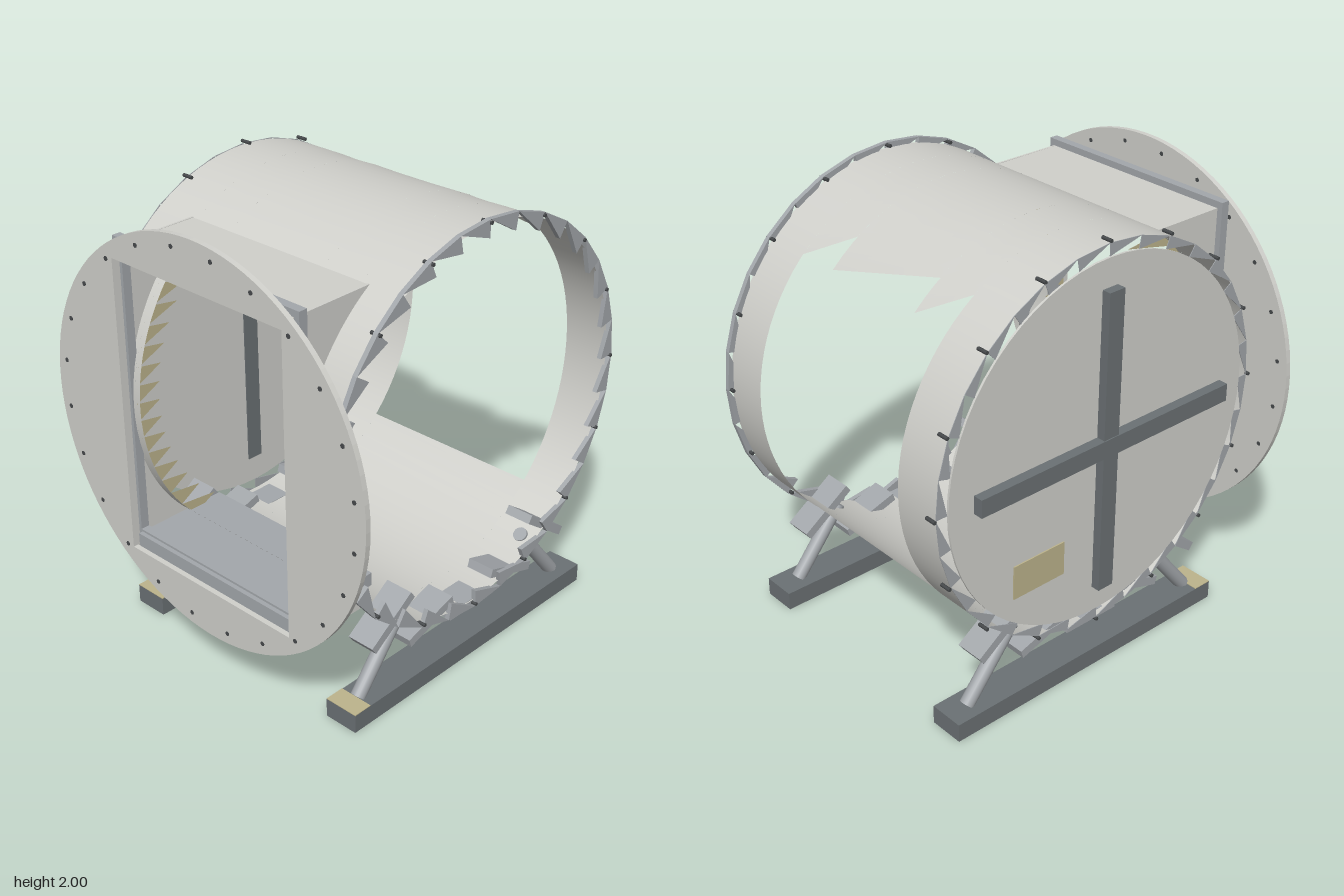
import * as THREE from 'three';

const CX = 0.01, CY = 1.12, R = 0.853;
const rad = THREE.MathUtils.degToRad;
const polar = (r, a) => new THREE.Vector2(CX + r * Math.cos(a), CY + r * Math.sin(a));

export function createModel() {
  const model = new THREE.Group();
  const mat = (name, color) => new THREE.MeshStandardMaterial({ name, color, side: THREE.DoubleSide });
  const shell = mat('pale shell', 0xd0d0cb);
  const steel = mat('steel grey', 0xa3a7ab);
  const dark = mat('dark grey', 0x6b7174);
  const black = mat('bolt grey', 0x46494b);
  const tan = mat('tan', 0xbdb48c);

  const add = (name, geo, m, parent = model) => {
    const mesh = new THREE.Mesh(geo, m);
    mesh.name = name;
    parent.add(mesh);
    return mesh;
  };
  const group = (name) => {
    const g = new THREE.Group();
    g.name = name;
    model.add(g);
    return g;
  };
  // box given by its limits on each axis
  const box = (name, m, [x0, x1], [y0, y1], [z0, z1], parent) => {
    const b = add(name, new THREE.BoxGeometry(x1 - x0, y1 - y0, z1 - z0), m, parent);
    b.position.set((x0 + x1) / 2, (y0 + y1) / 2, (z0 + z1) / 2);
    return b;
  };
  const extrude = (shape, depth) =>
    new THREE.ExtrudeGeometry(shape, { depth, bevelEnabled: false, curveSegments: 48 });

  // Drum wall: curved patches between z0 and z1, angles in degrees at each end
  const drum = group('drum');
  const patch = (z0, z1, [a0, b0], [a1, b1] = [a0, b0]) => {
    const n = Math.ceil((b0 - a0) / 4), pos = [], nor = [], idx = [];
    for (let i = 0; i <= n; i++) {
      [[z0, a0, b0], [z1, a1, b1]].forEach(([z, a, b]) => {
        const t = rad(a + (b - a) * i / n);
        const p = polar(R, t);
        pos.push(p.x, p.y, z);
        nor.push(Math.cos(t), Math.sin(t), 0);
      });
      if (i < n) {
        const k = 2 * i;
        idx.push(k, k + 2, k + 1, k + 1, k + 2, k + 3);
      }
    }
    const g = new THREE.BufferGeometry();
    g.setAttribute('position', new THREE.Float32BufferAttribute(pos, 3));
    g.setAttribute('normal', new THREE.Float32BufferAttribute(nor, 3));
    g.setIndex(idx);
    add('drumWall', g, shell, drum);
  };
  patch(-0.68, -0.455, [0, 360]);
  patch(0.45, 0.66, [0, 360]);
  // saw-toothed upper edge of the right opening
  [[-0.455, -0.26], [-0.26, 0.25], [0.25, 0.45]].forEach(([z0, z1]) =>
    patch(z0, z1, [56.6, 130], [45.4, 130]));
  patch(-0.455, 0.45, [223, 314.6]);
  patch(-0.455, -0.425, [130, 223]);
  patch(0.425, 0.45, [130, 223]);

  // Back cover with its cross brace and plate
  const cover = add('backCover', new THREE.CylinderGeometry(0.803, 0.803, 0.01, 64), shell);
  cover.rotation.x = Math.PI / 2;
  cover.position.set(CX, CY, -0.685);
  box('verticalBrace', dark, [-0.03, 0.05], [0.44, 1.8], [-0.73, -0.675]);
  box('horizontalBrace', dark, [-0.665, 0.69], [1.08, 1.16], [-0.735, -0.684]);
  box('backPlate', tan, [0.22, 0.49], [0.59, 0.745], [-0.696, -0.69]);

  // Sawtooth rims and bolts at both ends
  const rim = (name, outer, z, depth) => {
    const g = group(name);
    for (let i = 0; i < 32; i++) {
      const a = i * Math.PI / 16, b = a + Math.PI / 16;
      const tri = new THREE.Shape([polar(0.803, a), polar(outer, a), polar(outer, b)]);
      add('rimTooth', extrude(tri, depth), steel, g).position.z = z;
    }
  };
  rim('frontRim', 0.88, 0.65, 0.022);
  rim('backRim', 0.858, -0.683, 0.003);
  const bolts = group('rimBolts');
  const boltGeo = new THREE.CylinderGeometry(0.008, 0.008, 0.05, 8);
  for (const z of [0.655, -0.665]) {
    for (let i = 0; i < 16; i++) {
      const p = polar(0.867, i * Math.PI / 8);
      const b = add('rimBolt', boltGeo, black, bolts);
      b.rotation.x = Math.PI / 2;
      b.position.set(p.x, p.y, z);
    }
  }

  // Side duct joining the drum
  const duct = group('duct');
  const side = new THREE.Shape();
  side.moveTo(-0.87, 0.41);
  side.lineTo(-0.46, 0.41);
  side.absarc(CX, CY, R, rad(236.6), rad(123.4), true);
  side.lineTo(-0.87, 1.83);
  for (const z of [-0.49, 0.48]) add('ductSide', extrude(side, 0.01), shell, duct).position.z = z;
  box('ductTop', shell, [-0.87, -0.46], [1.82, 1.83], [-0.49, 0.49], duct);
  box('ductBottom', shell, [-0.87, -0.46], [0.41, 0.42], [-0.49, 0.49], duct);
  box('ductFloor', steel, [-0.87, -0.41], [0.46, 0.52], [-0.46, 0.46], duct);

  // Plates across the duct, drawn in (z, y) and turned to face sideways
  const rect = (P, h, y0, y1) => {
    const s = new P();
    s.moveTo(-h, y0);
    s.lineTo(h, y0);
    s.lineTo(h, y1);
    s.lineTo(-h, y1);
    s.closePath();
    return s;
  };
  const frame = rect(THREE.Shape, 0.515, 0.41, 1.86);
  frame.holes.push(rect(THREE.Path, 0.465, 0.53, 1.8));
  const frameMesh = add('ductFrame', extrude(frame, 0.04), steel);
  frameMesh.rotation.y = Math.PI / 2;
  frameMesh.position.x = -0.85;

  const disc = new THREE.Shape();
  disc.absarc(0, CY, 0.88, 0, Math.PI * 2, false);
  disc.holes.push(rect(THREE.Path, 0.47, 0.46, 1.79));
  const discMesh = add('sideFlange', extrude(disc, 0.024), shell);
  discMesh.rotation.y = Math.PI / 2;
  discMesh.position.x = -0.895;

  const flangeBolts = group('flangeBolts');
  for (let i = 0; i < 24; i++) {
    const a = (i + 0.5) * Math.PI / 12;
    const b = add('flangeBolt', new THREE.CylinderGeometry(0.01, 0.01, 0.028, 8), black, flangeBolts);
    b.rotation.z = Math.PI / 2;
    b.position.set(-0.884, CY + 0.83 * Math.sin(a), 0.83 * Math.cos(a));
  }

  // Spikes along the curved edges of the duct opening
  const spikes = group('openingSpikes');
  const edge = (r, y) => new THREE.Vector2(CX - Math.sqrt(r * r - (y - CY) ** 2), y);
  for (const z of [-0.44, 0.44]) {
    for (let i = 0; i < 16; i++) {
      const y0 = 0.49 + i * 0.081, y1 = y0 + 0.081;
      const tri = new THREE.Shape([edge(R, y0), edge(0.735, y1 - 0.02), edge(R, y1)]);
      add('spike', new THREE.ShapeGeometry(tri), tan, spikes).position.z = z;
    }
  }

  // Two stands: beam, slanted legs and saddle pads
  for (const z of [-0.59, 0.59]) {
    const stand = group(z > 0 ? 'frontStand' : 'backStand');
    box('beam', dark, [-0.73, 0.76], [0, 0.085], [z - 0.08, z + 0.08], stand);
    box('beamPlate', tan, [-0.73, -0.64], [0.085, 0.088], [z - 0.08, z + 0.08], stand);
    for (const s of [-1, 1]) {
      const a = new THREE.Vector3(CX + s * 0.64, 0.085, z);
      const b = new THREE.Vector3(CX + s * 0.4, 0.38, z);
      const d = b.clone().sub(a);
      const leg = add('leg', new THREE.CylinderGeometry(0.032, 0.032, d.length(), 20), steel, stand);
      leg.position.copy(a).add(b).multiplyScalar(0.5);
      leg.quaternion.setFromUnitVectors(new THREE.Vector3(0, 1, 0), d.normalize());
    }
    for (let i = -2; i <= 2; i++) {
      const t = rad(i * 17.5);
      const pad = add('saddlePad', new THREE.BoxGeometry(0.28, 0.04, 0.13), steel, stand);
      pad.position.set(CX + 0.87 * Math.sin(t), CY - 0.87 * Math.cos(t), z);
      pad.rotation.z = -t;
    }
  }
  return model;
}
